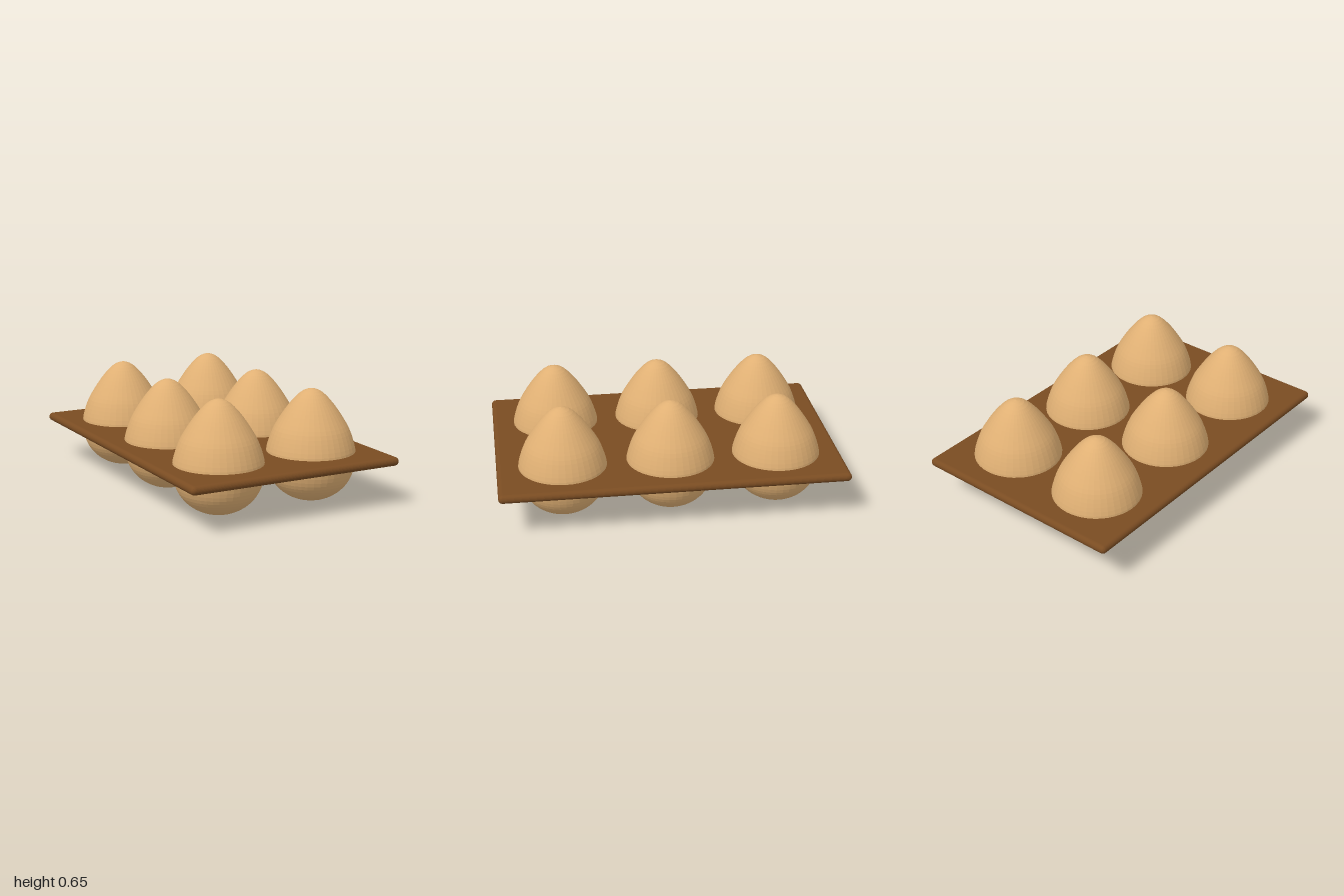
import * as THREE from 'three';
import { RoundedBoxGeometry } from 'three/addons/geometries/RoundedBoxGeometry.js';

export function createModel() {
  const group = new THREE.Group();
  const shell = new THREE.MeshStandardMaterial({ name: 'eggshell', color: 0xe0b074, flatShading: true });
  const brown = new THREE.MeshStandardMaterial({ name: 'tray brown', color: 0x7a4c22, flatShading: true });

  // Thin tray with fully rounded edges
  const tray = new THREE.Mesh(new RoundedBoxGeometry(1.31, 0.05, 2, 4, 0.0249), brown);
  tray.name = 'tray';
  tray.position.y = 0.26;
  group.add(tray);

  // Egg profile from the blunt base up to the narrow tip
  const profile = new THREE.SplineCurve([
    [0, 0], [0.06, 0.004], [0.12, 0.024], [0.18, 0.065], [0.225, 0.123], [0.25, 0.194],
    [0.256, 0.26], [0.25, 0.315], [0.22, 0.405], [0.18, 0.477], [0.13, 0.55],
    [0.08, 0.607], [0.04, 0.636], [0, 0.647],
  ].map(([r, y]) => new THREE.Vector2(r, y)));
  const points = profile.getSpacedPoints(36);
  points[0].x = points[36].x = 0;
  const eggGeometry = new THREE.LatheGeometry(points, 40);

  // Two columns of three eggs, sitting through the tray
  for (const x of [-0.295, 0.303]) {
    for (const z of [-0.626, -0.005, 0.62]) {
      const egg = new THREE.Mesh(eggGeometry, shell);
      egg.name = 'egg';
      egg.position.set(x, 0, z);
      group.add(egg);
    }
  }
  return group;
}
